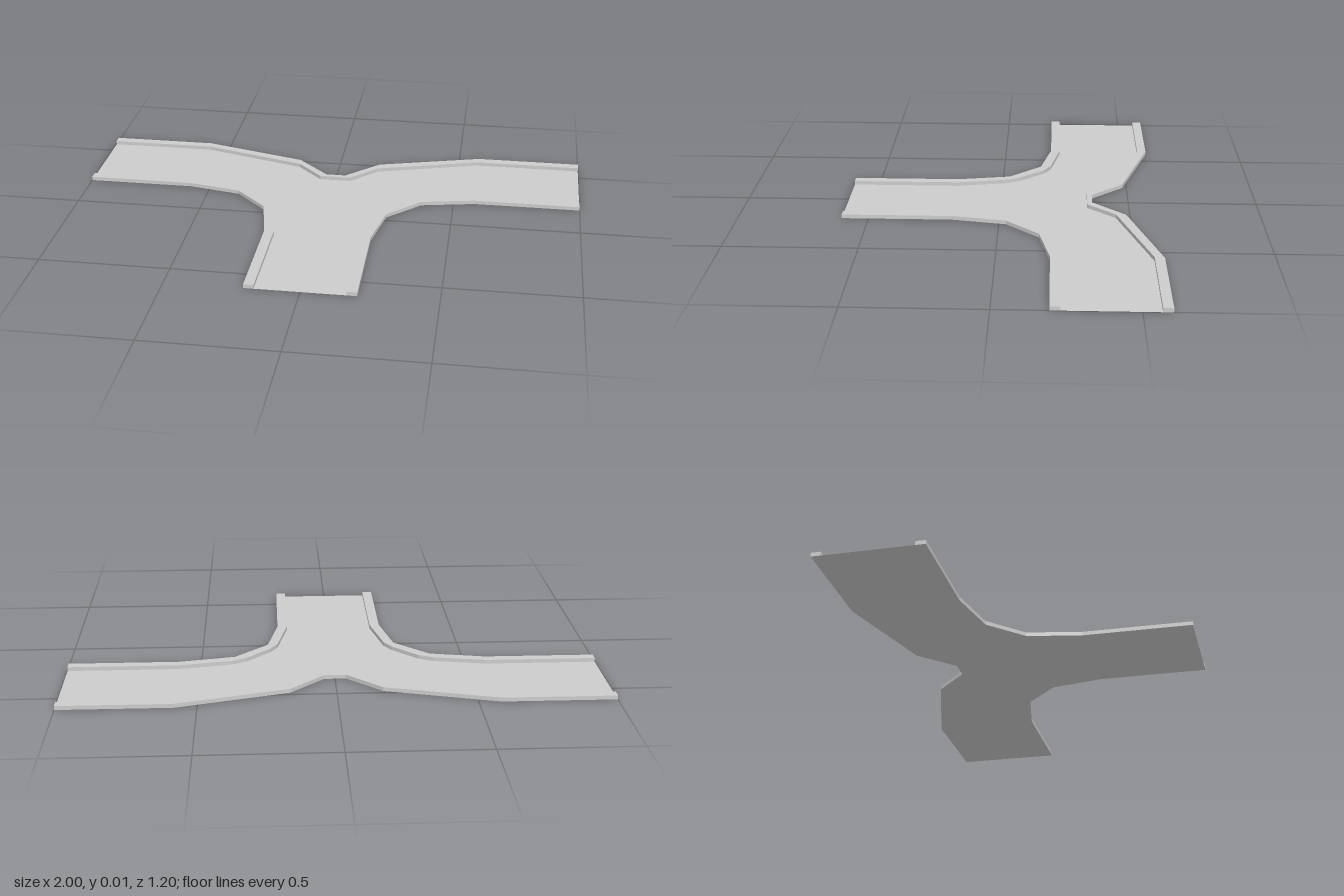
import * as THREE from 'three';

const CURB_HEIGHT = 0.015;

// Plan outlines as [x, z]; the other half is mirrored in x
const backOuter = [[1, -0.602], [0.583, -0.602], [0.168, -0.484], [0.04, -0.357]];
const backInner = [[1, -0.566], [0.578, -0.566], [0.166, -0.445], [0.063, -0.338]];
const sideOuter = [[1, -0.195], [0.583, -0.195], [0.373, -0.153], [0.246, -0.027], [0.206, 0.18], [0.206, 0.602]];
const sideInner = [[1, -0.232], [0.583, -0.232], [0.385, -0.195], [0.33, -0.168], [0.236, -0.07],
  [0.208, -0.02], [0.168, 0.18], [0.168, 0.602]];

const mirror = (pts) => pts.map(([x, z]) => [-x, z]);
const reversed = (pts) => [...pts].reverse();
const bothSides = (pts) => [...pts, ...reversed(mirror(pts))];
const toShape = (pts) => new THREE.Shape(pts.map(([x, z]) => new THREE.Vector2(x, -z)));

export function createModel() {
  const group = new THREE.Group();
  group.name = 'roadJunction';
  const material = new THREE.MeshStandardMaterial({ color: 0xcccccc, flatShading: true });
  const sheetMaterial = material.clone();
  sheetMaterial.side = THREE.DoubleSide;

  const add = (name, geometry, mat) => {
    geometry.rotateX(-Math.PI / 2);
    const mesh = new THREE.Mesh(geometry, mat);
    mesh.name = name;
    group.add(mesh);
  };
  const addCurb = (name, outer, inner) => add(name,
    new THREE.ExtrudeGeometry(toShape([...outer, ...reversed(inner)]), { depth: CURB_HEIGHT, bevelEnabled: false }),
    material);

  // Thin road surface between the curbs
  const roadOutline = [
    ...bothSides(backInner),
    ...mirror(sideInner),
    ...reversed(sideInner),
  ];
  add('roadSurface', new THREE.ShapeGeometry(toShape(roadOutline)), sheetMaterial);

  // Raised curbs along the three edges
  addCurb('backCurb', bothSides(backOuter), bothSides(backInner));
  addCurb('leftCurb', sideOuter, sideInner);
  addCurb('rightCurb', mirror(sideOuter), mirror(sideInner));

  return group;
}
